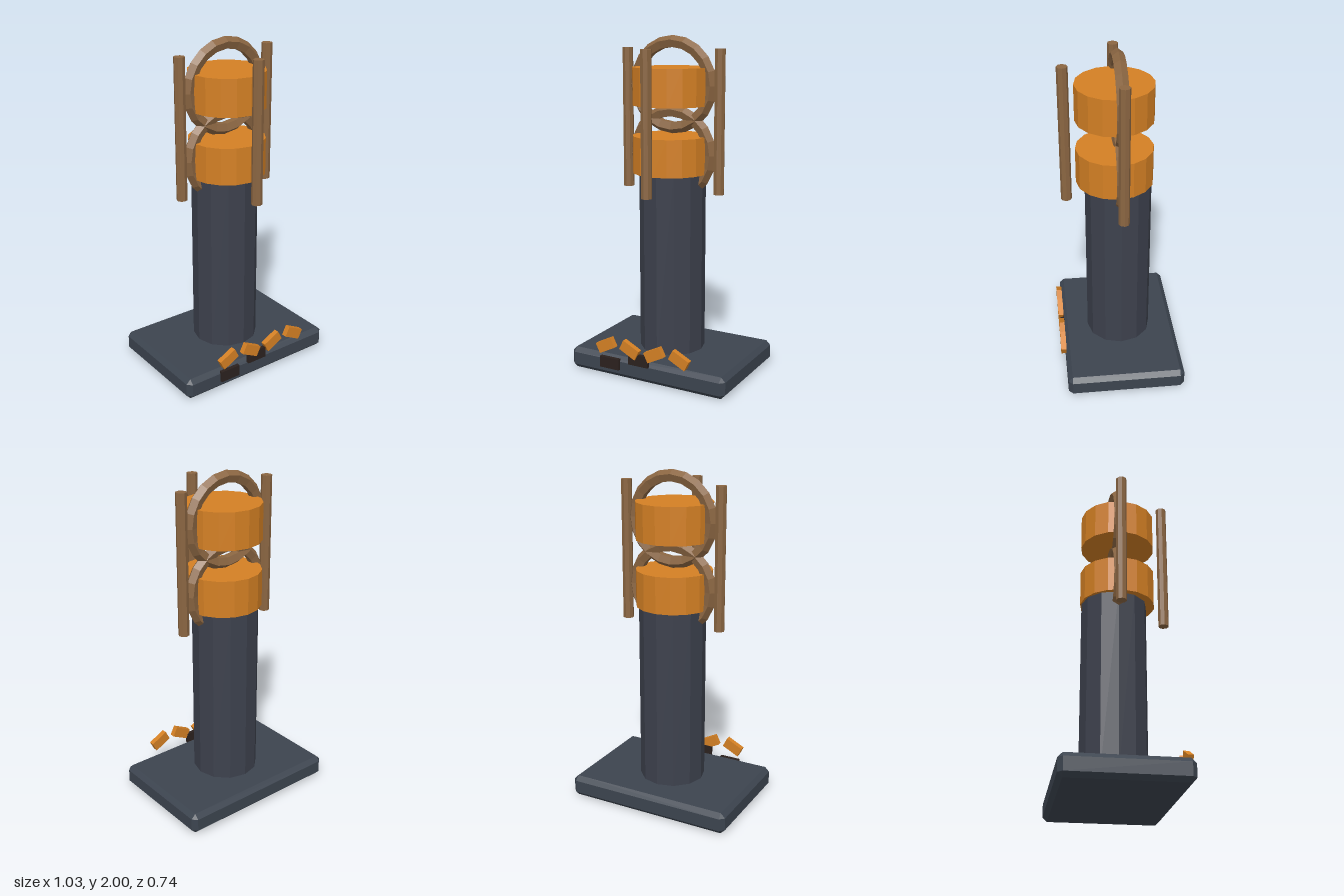
import * as THREE from 'three';
import { ConvexGeometry } from 'three/addons/geometries/ConvexGeometry.js';

function material(name, color) {
  const m = new THREE.MeshStandardMaterial({ color, flatShading: true });
  m.name = name;
  return m;
}

// Box with every edge cut by a single chamfer
function chamferedBox(w, h, d, c) {
  const points = [];
  for (const sx of [-1, 1]) for (const sy of [-1, 1]) for (const sz of [-1, 1]) {
    const x = w / 2, y = h / 2, z = d / 2;
    points.push(
      new THREE.Vector3(sx * x, sy * (y - c), sz * (z - c)),
      new THREE.Vector3(sx * (x - c), sy * y, sz * (z - c)),
      new THREE.Vector3(sx * (x - c), sy * (y - c), sz * z));
  }
  return new ConvexGeometry(points);
}

export function createModel() {
  const model = new THREE.Group();
  model.name = 'towerModel';
  const slate = material('slate', 0x3c444f);
  const steel = material('dark steel', 0x3d414d);
  const orange = material('orange', 0xd48024);
  const bronze = material('bronze', 0x8b6642);
  const black = material('brown black', 0x2b211e);
  const axisZ = -0.017;

  function add(name, geometry, mat, x, y, z) {
    const mesh = new THREE.Mesh(geometry, mat);
    mesh.name = name;
    mesh.position.set(x, y, z);
    model.add(mesh);
    return mesh;
  }

  // Plinth and column
  add('base', chamferedBox(1.03, 0.13, 0.707, 0.027), slate, 0, 0.065, axisZ);
  add('column', new THREE.CylinderGeometry(0.197, 0.197, 1.1, 12), steel, 0, 0.67, axisZ);

  // Two drums, each with an upright ring around it
  const drum = new THREE.CylinderGeometry(0.226, 0.226, 0.217, 16);
  const ring = new THREE.TorusGeometry(0.246, 0.037, 5, 20);
  [['lower', 1.317, 1.32], ['upper', 1.711, 1.717]].forEach(([level, drumY, ringY]) => {
    add(level + 'Drum', drum, orange, 0, drumY, 0.004);
    add(level + 'Ring', ring, bronze, 0, ringY, axisZ);
  });

  // Cage rods at the sides and front
  const rod = new THREE.CylinderGeometry(0.032, 0.032, 0.83, 8);
  add('leftRod', rod, bronze, 0.303, 1.512, axisZ);
  add('rightRod', rod, bronze, -0.303, 1.512, axisZ);
  add('frontRod', rod, bronze, 0, 1.512, 0.288);

  // Row of tilted blocks along the front edge
  const block = new THREE.BoxGeometry(0.116, 0.064, 0.033);
  for (let i = 0; i < 4; i++) {
    const tilt = (i % 2 ? -1 : 1) * 0.47;
    add('tiltedBlock' + (i + 1), block, orange, (i - 1.5) * 0.164, 0.2, 0.35).rotation.z = tilt;
  }

  // Dark blocks below them
  const darkBlock = new THREE.BoxGeometry(0.13, 0.068, 0.022);
  add('darkBlockRight', darkBlock, black, -0.228, 0.087, 0.342);
  add('darkBlockMiddle', darkBlock, black, -0.03, 0.14, 0.342);

  return model;
}
